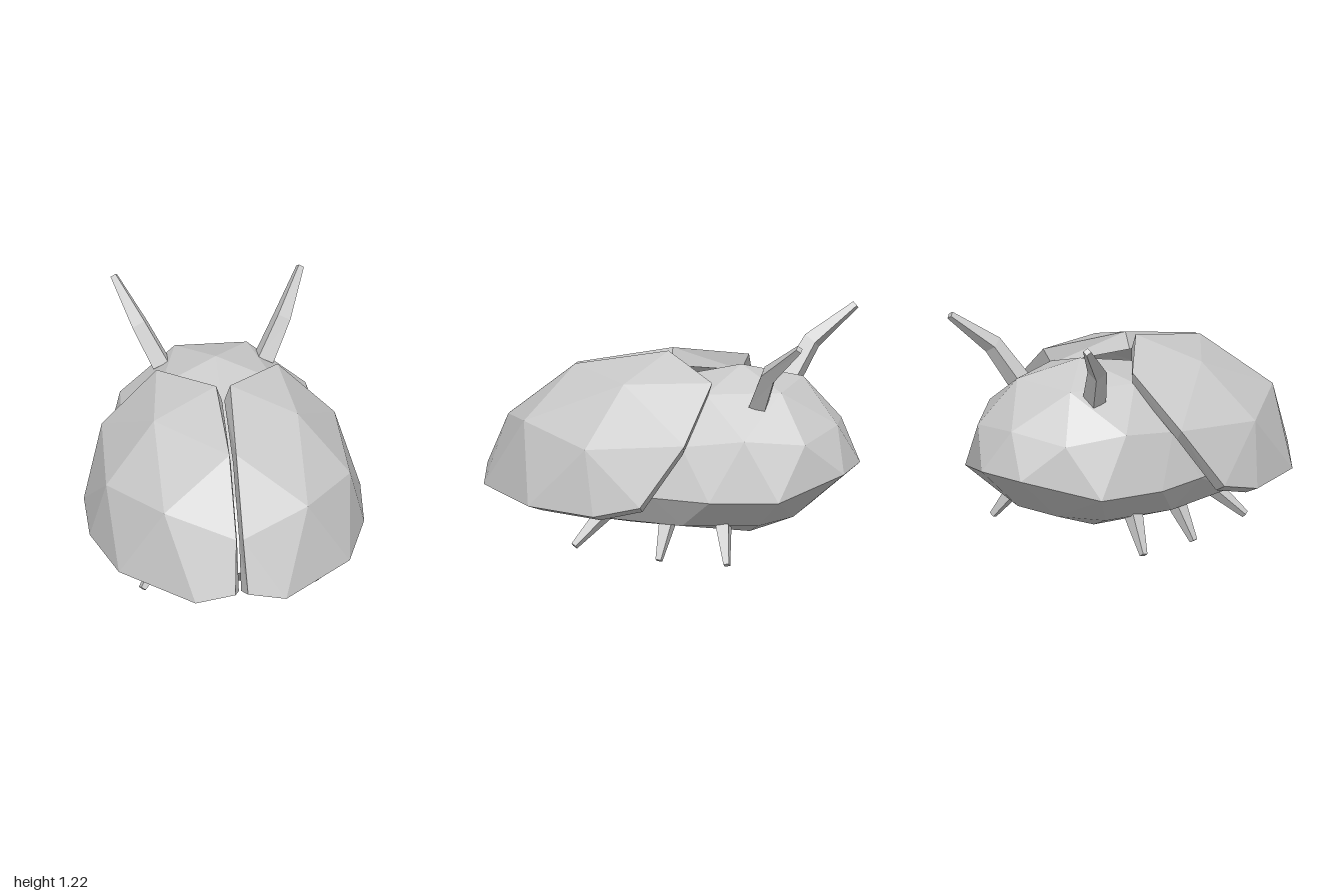
import * as THREE from 'three';
import { ConvexGeometry } from 'three/addons/geometries/ConvexGeometry.js';

const material = new THREE.MeshStandardMaterial({ color: 0xcccccc, flatShading: true });

function meshFrom(name, points, faces) {
  let g = new THREE.BufferGeometry();
  g.setAttribute('position', new THREE.Float32BufferAttribute(points.flat(), 3));
  g.setIndex(faces.flat());
  g = g.toNonIndexed();
  g.computeVertexNormals();
  const mesh = new THREE.Mesh(g, material);
  mesh.name = name;
  return mesh;
}

// Faceted body: hull of one half's points plus their mirror image
function makeBody() {
  const half = [
    [0, 0.97, -0.39],
    [0.19, 0.88, -0.67], [0.3, 0.87, -0.29], [0, 0.87, 0.0],
    [0, 0.68, -0.92], [0.315, 0.64, -0.84], [0.49, 0.68, -0.56], [0.51, 0.63, -0.22],
    [0.34, 0.66, 0.2], [0, 0.63, 0.45],
    [0.14, 0.45, -1], [0.49, 0.36, -0.75], [0.6, 0.36, -0.4], [0.58, 0.36, -0.08],
    [0.5, 0.34, 0.35], [0.16, 0.3, 0.72],
    [0.14, 0.2, -0.72], [0.38, 0.2, -0.6], [0.5, 0.2, -0.22], [0.46, 0.2, 0.27], [0.22, 0.2, 0.63],
    [0.2, 0.12, -0.5], [0.2, 0.12, 0.15],
  ];
  const points = half.flatMap(([x, y, z]) =>
    (x ? [1, -1] : [1]).map((s) => new THREE.Vector3(s * x, y, z)));
  const mesh = new THREE.Mesh(new ConvexGeometry(points), material);
  mesh.name = 'body';
  return mesh;
}

// Wing case: a faceted outer skin, a shrunken inner skin and a rim joining them
function makeWing(name, side) {
  const outer = [
    [0.037, 1.02, 0], [0.018, 0.905, 0.52], [0.018, 0.605, 0.89], [0.033, 0.335, 1], // 0-3 centre edge
    [0.24, 0.27, 0.955], [0.61, 0.27, 0.595], [0.725, 0.27, 0.2], [0.73, 0.34, -0.06], // 4-7 lower edge
    [0.615, 0.665, -0.27], [0.32, 0.94, -0.33], // 8-9 rear edge
    [0.38, 0.91, 0.14], [0.38, 0.67, 0.69], [0.645, 0.61, 0.27], // 10-12 inside the skin
  ];
  const skin = [
    [0, 1, 10], [0, 10, 9], [1, 2, 11], [1, 11, 10], [10, 11, 12], [10, 12, 8], [10, 8, 9],
    [2, 3, 4], [2, 4, 11], [11, 4, 5], [11, 5, 12], [12, 5, 6], [12, 6, 7], [12, 7, 8],
  ];
  const n = outer.length;
  const inner = outer.map(([x, y, z]) =>
    [x < 0.05 ? 0.006 : x * 0.91, 0.24 + (y - 0.27) * 0.92, z * 0.9]);
  const faces = [...skin, ...skin.map(([a, b, c]) => [a + n, c + n, b + n])];
  const edge = 10;
  for (let a = 0; a < edge; a++) {
    const b = (a + 1) % edge;
    faces.push([b, a, a + n], [b, a + n, b + n]);
  }
  const points = [...outer, ...inner].map(([x, y, z]) => [side * x, y, z]);
  return meshFrom(name, points, side > 0 ? faces : faces.map(([a, b, c]) => [a, c, b]));
}

// Tapered four-sided limb through the path points, closed at both ends
function makeLimb(name, path, radii, side) {
  const p = path.map(([x, y, z]) => new THREE.Vector3(side * x, y, z));
  const last = p.length - 1;
  const points = [];
  const faces = [[0, 2, 1], [0, 3, 2]];
  p.forEach((c, i) => {
    const dir = p[Math.min(i + 1, last)].clone().sub(p[Math.max(i - 1, 0)]).normalize();
    const u = new THREE.Vector3(0, 0, 1).cross(dir).normalize();
    const v = dir.clone().cross(u);
    for (let k = 0; k < 4; k++) {
      const a = (k + 0.5) * Math.PI / 2;
      points.push(c.clone().addScaledVector(u, Math.cos(a) * radii[i])
        .addScaledVector(v, Math.sin(a) * radii[i]).toArray());
      if (i < last) {
        const q = i * 4 + k, r = i * 4 + (k + 1) % 4;
        faces.push([q, r, r + 4], [q, r + 4, q + 4]);
      }
    }
  });
  const e = last * 4;
  faces.push([e, e + 1, e + 2], [e, e + 2, e + 3]);
  return meshFrom(name, points, faces);
}

export function createModel() {
  const model = new THREE.Group();
  model.name = 'beetle';
  model.add(makeBody());

  const legs = {
    FrontLeg: [[0.31, 0.23, 0.23], [0.465, 0.035, 0.385]],
    MiddleLeg: [[0.43, 0.23, -0.125], [0.555, 0.017, -0.11]],
    BackLeg: [[0.39, 0.23, -0.41], [0.54, 0.017, -0.48]],
  };
  for (const [side, label] of [[1, 'left'], [-1, 'right']]) {
    model.add(makeWing(label + 'WingCase', side));
    model.add(makeLimb(label + 'Antenna',
      [[0.27, 0.83, -0.57], [0.375, 1.025, -0.66], [0.492, 1.208, -0.865]],
      [0.062, 0.052, 0.022], side));
    for (const [leg, path] of Object.entries(legs)) {
      model.add(makeLimb(label + leg, path, [0.055, 0.021], side));
    }
  }
  return model;
}
